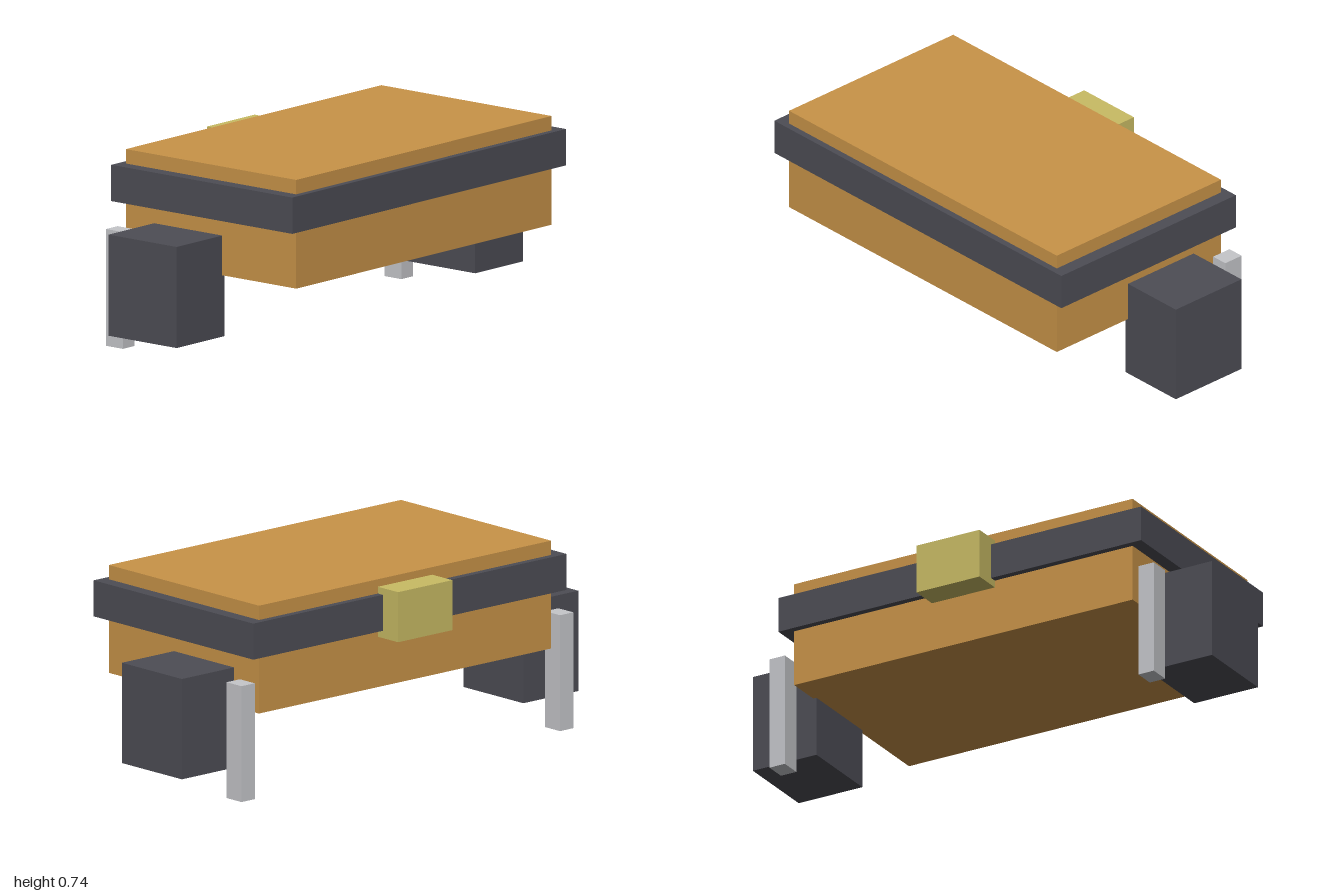
import * as THREE from 'three';

const mat = (name, color) => {
  const m = new THREE.MeshStandardMaterial({ color });
  m.name = name;
  return m;
};

export function createModel() {
  const group = new THREE.Group();
  const wood = mat('warm orange', 0xc89348);
  const dark = mat('dark slate', 0x4d4d55);
  const brass = mat('pale brass', 0xc8bb64);
  const silver = mat('light grey', 0xc5c6ca);

  // Box given by its extents along each axis
  const box = (name, material, [x0, x1], [y0, y1], [z0, z1]) => {
    const mesh = new THREE.Mesh(new THREE.BoxGeometry(x1 - x0, y1 - y0, z1 - z0), material);
    mesh.position.set((x0 + x1) / 2, (y0 + y1) / 2, (z0 + z1) / 2);
    mesh.name = name;
    group.add(mesh);
  };

  // Main body, the band around it and the block on the back
  box('body', wood, [-0.737, 0.737], [0.322, 0.738], [-0.375, 0.461]);
  box('band', dark, [-0.79, 0.79], [0.544, 0.683], [-0.402, 0.487]);
  box('backBlock', brass, [-0.137, 0.137], [0.516, 0.709], [-0.487, -0.375]);

  // Side blocks and rear posts, mirrored left and right
  for (const [side, s] of [['left', 1], ['right', -1]]) {
    const span = (a, b) => (s > 0 ? [a, b] : [-b, -a]);
    box(side + 'SideBlock', dark, span(0.723, 1), [0.087, 0.474], [-0.236, 0.098]);
    box(side + 'RearPost', silver, span(0.77, 0.837), [0, 0.447], [-0.388, -0.305]);
  }
  return group;
}
